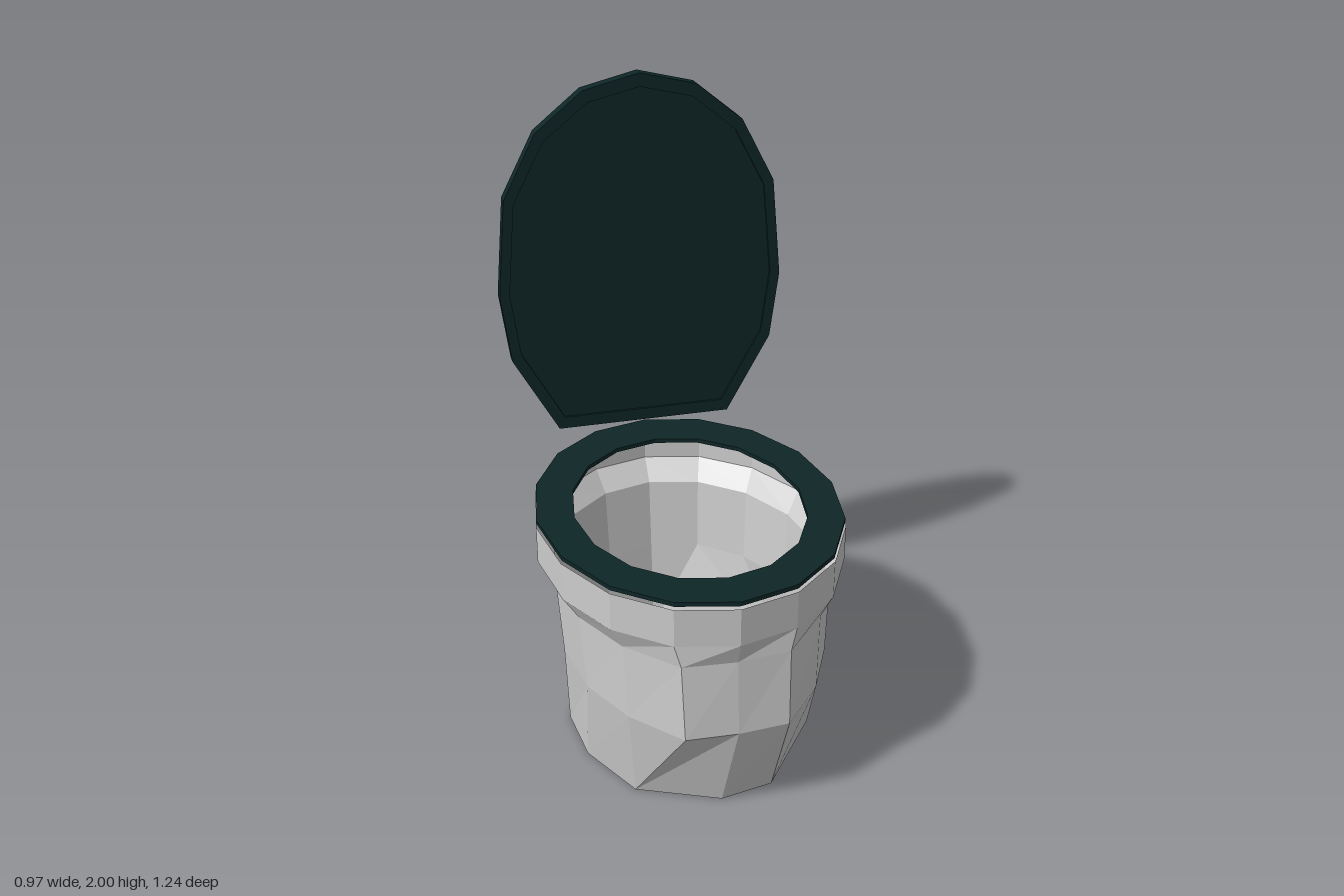
import * as THREE from 'three';

const N = 16;
const porcelain = new THREE.MeshStandardMaterial({ color: 0xcccccc, flatShading: true, side: THREE.DoubleSide });
porcelain.name = 'light grey';
const teal = new THREE.MeshStandardMaterial({ color: 0x0e2627, flatShading: true });
teal.name = 'dark teal';

// Sixteen-sided oval in the ground plane, counted from the front towards +x
function oval(rx, back, front) {
  const c = (front + back) / 2, rz = (front - back) / 2;
  return Array.from({ length: N }, (_, k) => {
    const t = (k / N) * Math.PI * 2;
    return [rx * Math.sin(t), c + rz * Math.cos(t)];
  });
}

// Skin stacked rings of [x, z] points, closing the lowest one
function loft(rings) {
  const pos = [];
  const tri = (...pts) => pts.forEach((p) => pos.push(...p));
  const at = (r, k) => [r.pts[k % N][0], r.y, r.pts[k % N][1]];
  for (let i = 0; i < rings.length - 1; i++) {
    for (let k = 0; k < N; k++) {
      const a = at(rings[i], k), b = at(rings[i], k + 1);
      const c = at(rings[i + 1], k + 1), d = at(rings[i + 1], k);
      const same = (p, q) => p[0] === q[0] && p[2] === q[2];
      if (!same(a, b)) tri(a, b, c);
      tri(a, c, d);
    }
  }
  const base = rings[0];
  for (let k = 0; k < N; k++) tri(at(base, k + 1), at(base, k), [0, base.y, 0]);
  const g = new THREE.BufferGeometry();
  g.setAttribute('position', new THREE.Float32BufferAttribute(pos, 3));
  g.computeVertexNormals();
  return g;
}

const toShape = (pts) => new THREE.Shape(pts.map(([x, y]) => new THREE.Vector2(x, y)));

function extrude(shape, depth) {
  return new THREE.ExtrudeGeometry(shape, { depth, bevelEnabled: false });
}

function part(name, geometry, material) {
  const m = new THREE.Mesh(geometry, material);
  m.name = name;
  return m;
}

export function createModel() {
  const model = new THREE.Group();
  model.name = 'toilet';

  // Bowl: irregular foot, bulging front, flared rim; open at the top
  const foot = [
    [-0.02, 0.52], [0.15, 0.49], [0.36, 0.22], [0.36, 0.22],
    [0.4, 0], [0.4, -0.165], [0.4, -0.165], [0, -0.465],
    [0, -0.465], [-0.18, -0.44], [-0.18, -0.44], [-0.4, 0],
    [-0.4, 0], [-0.38, 0.2], [-0.27, 0.41], [-0.27, 0.41],
  ];
  const belly = oval(0.42, -0.49, 0.62);
  belly[1][1] = belly[15][1] = 0.61;
  const neck = oval(0.435, -0.51, 0.6);
  neck[1][1] = neck[15][1] = 0.585;
  const rim = oval(0.485, -0.57, 0.62);
  model.add(part('bowl', loft([
    { y: 0, pts: foot },
    { y: 0.325, pts: belly },
    { y: 0.57, pts: neck },
    { y: 0.64, pts: rim },
    { y: 0.765, pts: rim },
  ]), porcelain));

  // Seat ring, just clear of the rim
  const flip = (pts) => pts.map(([x, z]) => [x, -z]);
  const seatShape = toShape(flip(oval(0.482, -0.57, 0.616)));
  seatShape.holes.push(toShape(flip(oval(0.365, -0.415, 0.485))));
  const seat = part('seat', extrude(seatShape, 0.014), teal);
  seat.rotation.x = -Math.PI / 2;
  seat.position.y = 0.774;
  model.add(seat);

  // Raised lid: border, slightly recessed inner panel and pale back
  const half = [[0.3, 0.79], [0.45, 1.06], [0.48, 1.29], [0.45, 1.62], [0.34, 1.83], [0.185, 1.955]];
  const mirrored = half.map(([x, y]) => [-x, y]).reverse();
  const outline = [...half, [0, 2], ...mirrored];
  const inner = outline.map(([x, y]) => [x * 0.93, 1.38 + (y - 1.38) * 0.93]);
  const border = toShape(outline);
  border.holes.push(toShape(inner));
  const lid = new THREE.Group();
  lid.name = 'lid';
  lid.add(part('lidBorder', extrude(border, 0.044), teal));
  const panel = part('lidPanel', extrude(toShape(inner), 0.034), teal);
  panel.position.z = 0.002;
  const back = part('lidBack', new THREE.ShapeGeometry(toShape(outline)), porcelain);
  back.rotation.y = Math.PI;
  back.position.z = -0.001;
  lid.add(panel, back);
  lid.position.z = -0.615;
  model.add(lid);

  return model;
}
